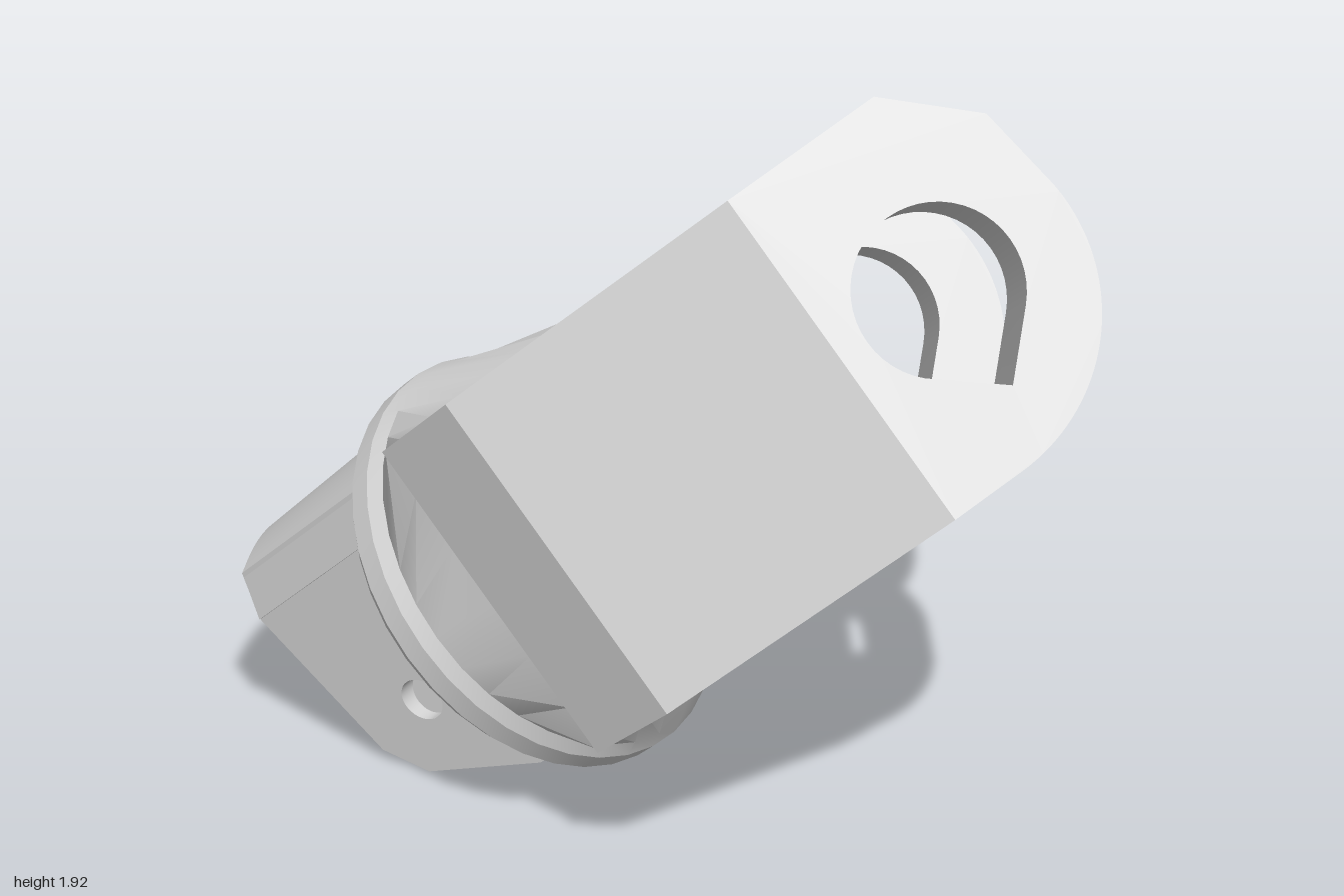
import * as THREE from 'three';
import { toCreasedNormals } from 'three/addons/utils/BufferGeometryUtils.js';

const metal = new THREE.MeshStandardMaterial({ color: 0xd4d4d4 });
metal.name = 'light grey metal';

const V3 = (x, y, z) => new THREE.Vector3(x, y, z);
const shapeOf = (pts) => new THREE.Shape(pts.map(([x, y]) => new THREE.Vector2(x, y)));

function circleHole(x, y, r) {
  return new THREE.Path().absarc(x, y, r, 0, Math.PI * 2, true);
}

function extrude(shape, depth) {
  return new THREE.ExtrudeGeometry(shape, { depth, bevelEnabled: false, curveSegments: 18 });
}

// Extrudes a profile drawn in (x, z) along y, from y0 to y1
function extrudeAlongY(shape, y0, y1) {
  return extrude(shape, y1 - y0).rotateX(Math.PI / 2).translate(0, y1, 0);
}

function add(parent, name, geometry) {
  const mesh = new THREE.Mesh(toCreasedNormals(geometry, 0.33), metal);
  mesh.name = name;
  parent.add(mesh);
}

const HALF = 0.432, WIDE = 0.711, INNER = 0.469, BASE = 0.89, ARM = 0.81;

// Body in three layers, the middle one notched to leave a deep pocket
function addBody(parent) {
  const start = [[ARM, -WIDE], [ARM, -INNER], [BASE, -INNER]];
  const rest = [[BASE, INNER], [ARM, INNER], [ARM, WIDE], [0.058, 0.405], [-0.115, 0.155], [0.59, -0.62]];
  const notch = [[BASE, -0.23], [0.42, -0.23], [0.1, -0.02], [0.1, 0.17], [0.42, 0.26], [BASE, 0.26]];
  const top = shapeOf([...start, ...rest]);
  top.holes.push(circleHole(0.074, 0.224, 0.05));
  const layers = [
    ['bodyTop', top, -HALF, -0.33],
    ['bodyMiddle', shapeOf([...start, ...notch, ...rest]), -0.33, 0.31],
    ['bodyBottom', shapeOf([...start, ...rest]), 0.31, HALF],
  ];
  for (const [name, shape, c0, c1] of layers) {
    add(parent, name, extrude(shape, c1 - c0).translate(0, 0, c0));
  }
}

// Fork arm with a clipped corner and a teardrop eye
function addArms(parent) {
  const arm = new THREE.Shape();
  arm.moveTo(ARM, -HALF);
  arm.lineTo(1.21, -HALF);
  arm.lineTo(1.394, -0.257);
  arm.absarc(0.995, 0, HALF, -0.1, Math.PI / 2, false);
  arm.lineTo(ARM, HALF);
  const r = 0.197, a = 1.077;
  const eye = new THREE.Path();
  eye.absarc(a, 0, r, Math.PI * 0.75, Math.PI * 2.25, false);
  eye.lineTo(a + 0.012, r * 1.35);
  arm.holes.push(eye);
  add(parent, 'leftForkArm', extrudeAlongY(arm, INNER, WIDE));
  add(parent, 'rightForkArm', extrudeAlongY(arm, -WIDE, -INNER));
}

// Collar lofted from the rectangular body face to a round lip, with fins at the corners
function collarGeometry() {
  const n = 36, e0 = 0.34, clamp = THREE.MathUtils.clamp;
  const rings = [[0, 0], [0.18, 0.53], [0.22, 0.548], [0.28, 0.548], [0.32, 0.515], [0.345, 0.44], [0.345, 0.001]];
  const pos = [], index = [];
  rings.forEach(([d, radius], i) => {
    for (let j = 0; j < n; j++) {
      const t = (j / n) * Math.PI * 2, c = Math.cos(t), s = Math.sin(t);
      if (i === 0) {
        const e = clamp(0.9 * c, -0.52, 0.52);
        pos.push(-0.005 + 0.047 * e, e0 + e, clamp(0.9 * s, -0.43, 0.43));
      } else {
        pos.push(d, e0 + radius * c, radius * s);
      }
      if (i < rings.length - 1) {
        const k = (j + 1) % n, p = i * n, q = p + n;
        index.push(p + j, p + k, q + j, p + k, q + k, q + j);
      }
    }
  });
  const g = new THREE.BufferGeometry();
  g.setAttribute('position', new THREE.Float32BufferAttribute(pos, 3));
  g.setIndex(index);
  return g;
}

// Moves every vertex by a rule
function bend(geometry, rule) {
  const p = geometry.attributes.position, v = V3();
  for (let i = 0; i < p.count; i++) {
    v.fromBufferAttribute(p, i);
    rule(v);
    p.setXYZ(i, v.x, v.y, v.z);
  }
  return geometry;
}

// Hollow stub: two drilled cheeks, a curved wall and a roller between them
function addStub(parent) {
  const front = shapeOf([[0.25, -0.4], [0.76, -0.4], [0.82, -0.28], [0.795, 0.17], [0.72, 0.28], [0.4, 0.41], [0.25, 0.41]]);
  front.holes.push(circleHole(0.57, 0.117, 0.058));
  add(parent, 'frontCheek', bend(extrudeAlongY(front, -0.025, 0.085), (v) => {
    v.y += 0.13 * (v.z + 0.35);
  }));

  const rear = shapeOf([[0.25, -0.43], [0.876, -0.37], [0.85, 0.025], [0.72, 0.24], [0.4, 0.39], [0.25, 0.39]]);
  rear.holes.push(circleHole(0.61, 0.01, 0.058));
  add(parent, 'rearCheek', bend(extrudeAlongY(rear, 0.44, 0.55), (v) => {
    v.y += 0.25 * v.z - 0.1 * (v.x - 0.6);
  }));

  const wall = new THREE.Shape();
  wall.moveTo(-0.03, -0.28);
  wall.lineTo(-0.03, -0.4);
  wall.quadraticCurveTo(0.22, -0.55, 0.455, -0.42);
  wall.lineTo(0.46, -0.3);
  wall.closePath();
  const g = extrude(wall, 0.6);
  g.applyMatrix4(new THREE.Matrix4().makeBasis(V3(0, 1, 0), V3(0, 0, 1), V3(1, 0, 0)));
  bend(g, (v) => {
    const tip = v.x > 0.3, side = Math.max(0, v.y);
    v.x = tip ? 0.76 + 0.265 * side + 0.4 * Math.min(0.12, v.z + 0.4) : 0.25;
    if (tip) {
      v.z += 0.1 * side;
      v.y -= 0.03 * side;
    }
  });
  add(parent, 'curvedWall', g);

  add(parent, 'roller', new THREE.CylinderGeometry(0.19, 0.19, 0.38, 24).translate(0.58, 0.27, 0.05));
}

export function createModel() {
  const model = new THREE.Group();
  model.name = 'forkBracket';

  // Tilted frame: x along the fork, y across the arms, z through the thickness
  const fork = new THREE.Group();
  fork.name = 'fork';
  const across = V3(0.077, 0.454, 0.887).normalize();
  const along = across.clone().cross(V3(0.58, -0.743, 0.336)).normalize();
  const through = along.clone().cross(across);
  fork.quaternion.setFromRotationMatrix(new THREE.Matrix4().makeBasis(along, across, through));
  fork.position.set(-0.286, 0.687, 0.322);
  model.add(fork);
  addBody(fork);
  addArms(fork);

  // Neck leaves the body at 45 degrees
  const neck = new THREE.Group();
  neck.name = 'neck';
  neck.rotation.z = -Math.PI * 0.75;
  fork.add(neck);
  add(neck, 'collar', collarGeometry());
  addStub(neck);
  return model;
}
